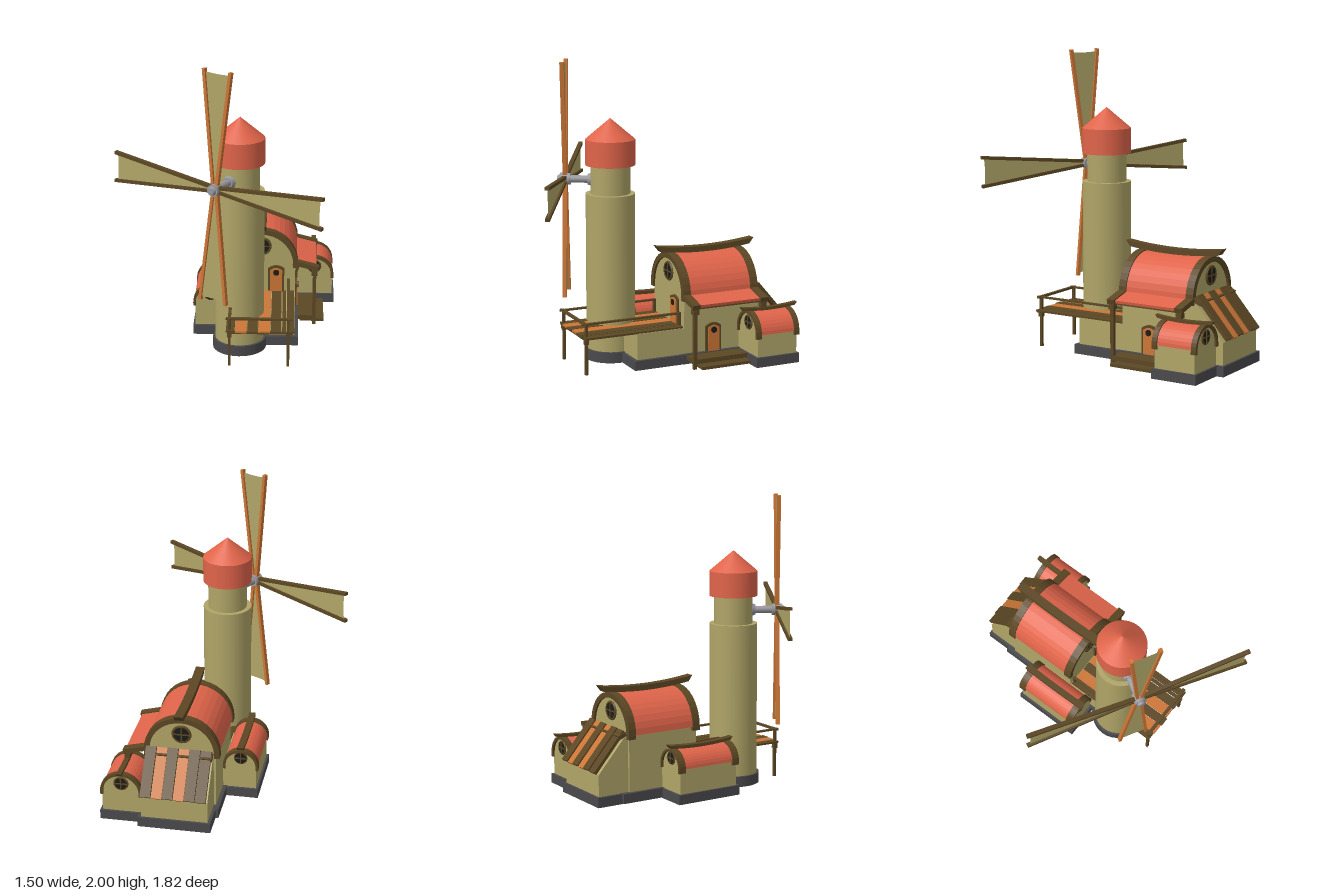
import * as THREE from 'three';

const mat = (color, opts = {}) => new THREE.MeshStandardMaterial({ color, ...opts });
const flat = { flatShading: true };
const STONE = mat(0xb0a568), RED = mat(0xe0644a, flat), CAP = mat(0xe0644a), ORANGE = mat(0xcc7636, flat);
const WOOD = mat(0x5c4724, flat), BASE = mat(0x4a4a4d), METAL = mat(0x97979c), GLASS = mat(0x1b1b18);
const SAIL = mat(0xb0a568, { side: THREE.DoubleSide });

export function createModel() {
  const root = new THREE.Group();
  const add = (name, geo, m, parent = root) => {
    const mesh = new THREE.Mesh(geo, m);
    mesh.name = name;
    parent.add(mesh);
    return mesh;
  };
  // box given by its limits
  const box = (name, m, x0, x1, y0, y1, z0, z1, parent = root) => {
    const b = add(name, new THREE.BoxGeometry(x1 - x0, y1 - y0, z1 - z0), m, parent);
    b.position.set((x0 + x1) / 2, (y0 + y1) / 2, (z0 + z1) / 2);
    return b;
  };
  // square bar between two points in the xy plane
  const bar = (name, m, ax, ay, bx, by, w, z0, z1, parent = root) => {
    const b = add(name, new THREE.BoxGeometry(w, Math.hypot(bx - ax, by - ay), z1 - z0), m, parent);
    b.position.set((ax + bx) / 2, (ay + by) / 2, (z0 + z1) / 2);
    b.rotation.z = Math.atan2(ax - bx, by - ay);
    return b;
  };
  const cyl = (name, m, rt, rb, x, y0, y1, z, seg = 32) => {
    const c = add(name, new THREE.CylinderGeometry(rt, rb, y1 - y0, seg), m);
    c.position.set(x, (y0 + y1) / 2, z);
    return c;
  };
  const extrude = (shape, depth, seg = 10) =>
    new THREE.ExtrudeGeometry(shape, { depth, bevelEnabled: false, curveSegments: seg });
  // profile drawn in the zy plane, extruded along x
  const extrudeX = (name, m, shape, x0, x1) => {
    const e = add(name, extrude(shape, x1 - x0), m);
    e.rotation.y = -Math.PI / 2;
    e.position.x = x1;
    return e;
  };
  // half ring (or half disc when inner is 0)
  const halfRing = (r, inner) => {
    const s = new THREE.Shape();
    s.absarc(0, 0, r, 0, Math.PI, false);
    if (inner) s.absarc(0, 0, inner, Math.PI, 0, true);
    s.closePath();
    return s;
  };

  // round window facing +z, or -z when dir is -1
  const roundWindow = (x, y, z, r, dir) => {
    const g = new THREE.Group();
    g.name = 'roundWindow';
    add('windowPane', new THREE.CylinderGeometry(r, r, 0.012, 20), GLASS, g).rotation.x = Math.PI / 2;
    add('windowFrame', new THREE.TorusGeometry(r, r * 0.16, 6, 20), WOOD, g);
    box('windowBar', WOOD, -r, r, -0.004, 0.004, 0, 0.011, g);
    box('windowBar', WOOD, -0.004, 0.004, -r, r, 0, 0.011, g);
    g.position.set(x, y, z);
    g.rotation.y = dir > 0 ? 0 : Math.PI;
    root.add(g);
  };

  // arched door with frame and porthole
  const door = (x, y, z, turn) => {
    const g = new THREE.Group();
    g.name = 'door';
    const arch = (w, h, top) => {
      const s = new THREE.Shape();
      s.moveTo(-w, 0);
      s.lineTo(w, 0);
      s.lineTo(w, h);
      s.quadraticCurveTo(0, top, -w, h);
      return s;
    };
    add('doorFrame', extrude(arch(0.056, 0.172, 0.215), 0.014), WOOD, g);
    add('doorPanel', extrude(arch(0.042, 0.16, 0.195), 0.02), ORANGE, g);
    const p = add('porthole', new THREE.CylinderGeometry(0.021, 0.021, 0.006, 16), GLASS, g);
    p.rotation.x = Math.PI / 2;
    p.position.set(0, 0.145, 0.022);
    g.position.set(x, y, z);
    g.rotation.y = turn;
    root.add(g);
  };

  // barrel roof with end rims, gables, windows and an upswept ridge beam
  const barrelRoof = (cx, cy, r, z0, z1, rim, ridgeW, ridgeH, over, winY, winR) => {
    const ring = (name, m, ro, ri, a, b) => add(name, extrude(halfRing(ro, ri), b - a, 9), m).position.set(cx, cy, a);
    ring('roofShell', RED, r - 0.007, r * 0.85, z0 + rim, z1 - rim);
    ring('roofRim', WOOD, r, r * 0.86, z0, z0 + rim);
    ring('roofRim', WOOD, r, r * 0.86, z1 - rim, z1);
    ring('gable', STONE, r * 0.88, 0, z0 + 0.015, z1 - 0.015);
    for (const s of [-1, 1])
      for (const z of [z0, z1 - rim]) {
        const x = cx + s * r * 0.93;
        box('rimFoot', WOOD, x - r * 0.07, x + r * 0.07, cy - 0.025, cy, z, z + rim);
      }
    roundWindow(cx, winY, z1 - 0.012, winR, 1);
    roundWindow(cx, winY, z0 + 0.012, winR, -1);
    const a = z0 - over, b = z1 + over, mid = (a + b) / 2, y = cy + r - 0.006, lift = ridgeH * 1.1;
    const s = new THREE.Shape();
    s.moveTo(a + ridgeH * 0.8, y + lift * 0.5);
    s.quadraticCurveTo(mid, y - lift * 0.6, b - ridgeH * 0.8, y + lift * 0.5);
    s.lineTo(b, y + lift * 0.55 + ridgeH);
    s.quadraticCurveTo(mid, y - lift * 0.4 + ridgeH * 0.7, a, y + lift * 0.55 + ridgeH);
    extrudeX('ridgeBeam', WOOD, s, cx - ridgeW / 2, cx + ridgeW / 2);
  };

  // stone plinths
  box('mainPlinth', BASE, -0.02, 0.49, 0.004, 0.07, -0.71, -0.1);
  box('backPlinth', BASE, 0, 0.487, 0, 0.068, -0.89, -0.7);
  box('frontPlinth', BASE, 0, 0.487, 0.004, 0.068, -0.11, 0.24);
  box('leftPlinth', BASE, -0.235, 0.02, 0, 0.066, -0.41, 0.07);
  box('rightPlinth', BASE, 0.45, 0.75, 0, 0.066, -0.84, -0.52);

  // house walls
  box('mainWalls', STONE, 0.005, 0.465, 0, 0.455, -0.65, -0.125);
  box('frontWalls', STONE, 0.015, 0.465, 0, 0.245, -0.13, 0.215);
  box('leftWalls', STONE, -0.22, 0.01, 0.06, 0.24, -0.395, 0.05);
  box('rightWalls', STONE, 0.46, 0.735, 0.06, 0.22, -0.825, -0.535);
  const back = new THREE.Shape();
  back.moveTo(-0.875, 0.06);
  back.lineTo(-0.64, 0.06);
  back.lineTo(-0.64, 0.455);
  back.lineTo(-0.68, 0.44);
  back.lineTo(-0.875, 0.215);
  extrudeX('backWalls', STONE, back, 0.02, 0.465);

  // barrel roofs
  barrelRoof(0.232, 0.455, 0.253, -0.665, -0.11, 0.054, 0.06, 0.038, 0.085, 0.585, 0.058);
  barrelRoof(-0.115, 0.235, 0.12, -0.41, 0.065, 0.05, 0.045, 0.022, 0.015, 0.295, 0.04);
  barrelRoof(0.605, 0.215, 0.14, -0.84, -0.52, 0.037, 0.034, 0.02, 0.05, 0.277, 0.044);

  // sloping plank roof at the back
  [0, 0, 1, 0, 1, 0].forEach((orange, i) => {
    const p = box('backRoofPlank', orange ? ORANGE : WOOD, 0.028 + i * 0.073, 0.098 + i * 0.073, -0.011, 0.011, -0.17, 0.17);
    p.position.y = 0.355 + (i % 2) * 0.006;
    p.position.z = -0.785 - (i % 2) * 0.005;
    p.rotation.x = -0.86;
  });
  const head = box('backRoofHead', WOOD, 0.02, 0.47, 0.44, 0.468, -0.72, -0.66);
  head.rotation.x = -0.4;

  // side porch
  bar('porchRoof', RED, 0.455, 0.462, 0.612, 0.422, 0.022, -0.615, -0.16);
  for (const [z0, z1] of [[-0.668, -0.611], [-0.165, -0.11]]) {
    bar('porchRim', WOOD, 0.45, 0.466, 0.625, 0.422, 0.032, z0, z1);
    const z = (z0 + z1) / 2;
    box('porchPost', WOOD, 0.588, 0.612, 0, 0.42, z - 0.012, z + 0.012);
    box('postCapital', WOOD, 0.58, 0.62, 0.37, 0.405, z - 0.02, z + 0.02);
  }
  box('porchBeam', WOOD, 0.59, 0.61, 0.405, 0.422, -0.66, -0.115);
  box('porchFloor', WOOD, 0.46, 0.61, 0.035, 0.065, -0.525, -0.13);
  box('porchStep', WOOD, 0.5, 0.67, 0.01, 0.03, -0.52, -0.16);
  door(0.465, 0.07, -0.337, Math.PI / 2);
  door(0.333, 0.25, -0.125, 0);

  // deck with railings
  [[0.01, 0.066, 0], [0.071, 0.146, 1], [0.151, 0.216, 0], [0.222, 0.3, 1], [0.305, 0.372, 0], [0.38, 0.404, 0], [0.41, 0.46, 0]]
    .forEach(([x0, x1, orange], i) =>
      box('deckPlank', orange ? ORANGE : WOOD, x0, x1, 0.243, 0.256, -0.12, 0.575 + (i % 3) * 0.006));
  box('deckBeam', WOOD, 0.02, 0.45, 0.235, 0.247, 0.55, 0.575);
  box('frontRail', WOOD, 0.01, 0.445, 0.332, 0.346, 0.553, 0.575);
  for (const x of [0.033, 0.42]) {
    box('deckPost', WOOD, x - 0.009, x + 0.009, 0, 0.34, 0.548, 0.566);
    box('postCollar', WOOD, x - 0.014, x + 0.014, 0.205, 0.24, 0.543, 0.571);
    box('sideRail', WOOD, x - 0.01, x + 0.01, 0.333, 0.345, -0.12, 0.585);
    box('railPost', WOOD, x - 0.009, x + 0.009, 0.25, 0.34, -0.12, -0.102);
  }

  // tower
  const tx = 0.09, tz = 0.24;
  cyl('towerPlinth', BASE, 0.18, 0.18, tx, 0, 0.072, tz);
  cyl('towerShaft', STONE, 0.164, 0.164, tx, 0.07, 1.12, tz);
  cyl('towerNeck', STONE, 0.132, 0.132, tx, 1.11, 1.33, tz);
  cyl('towerCap', CAP, 0.165, 0.165, tx, 1.31, 1.48, tz);
  cyl('towerSpire', CAP, 0, 0.165, tx, 1.48, 1.62, tz);

  // windmill: local +z runs along the axle
  const mill = new THREE.Group();
  mill.name = 'windmill';
  mill.position.set(-0.06, 1.21, 0.5);
  mill.rotation.y = -Math.PI / 6;
  root.add(mill);
  const axle = (name, rFront, rBack, z0, z1) => {
    const a = add(name, new THREE.CylinderGeometry(rFront, rBack, z1 - z0, 16), METAL, mill);
    a.rotation.x = Math.PI / 2;
    a.position.z = (z0 + z1) / 2;
  };
  axle('axleMount', 0.035, 0.052, -0.19, -0.15);
  axle('axle', 0.025, 0.025, -0.18, 0.03);
  axle('hub', 0.04, 0.04, -0.035, 0.035);
  axle('hubCap', 0.022, 0.03, 0.035, 0.052);
  const rotor = new THREE.Group();
  rotor.name = 'rotor';
  rotor.rotation.z = -0.025;
  mill.add(rotor);
  for (let i = 0; i < 4; i++) {
    const blade = new THREE.Group();
    blade.name = 'blade';
    blade.rotation.z = i * Math.PI / 2;
    rotor.add(blade);
    for (const s of [-1, 1])
      bar('bladeSpar', i % 2 ? WOOD : ORANGE, s * 0.012, 0.01, s * 0.098, 0.787, 0.021, -0.014, 0.014, blade);
    const sail = new THREE.Shape();
    sail.moveTo(-0.012, 0.03);
    sail.lineTo(0.012, 0.03);
    sail.lineTo(0.094, 0.768);
    sail.quadraticCurveTo(0, 0.758, -0.094, 0.768);
    add('sail', new THREE.ShapeGeometry(sail, 6), SAIL, blade);
  }
  return root;
}
